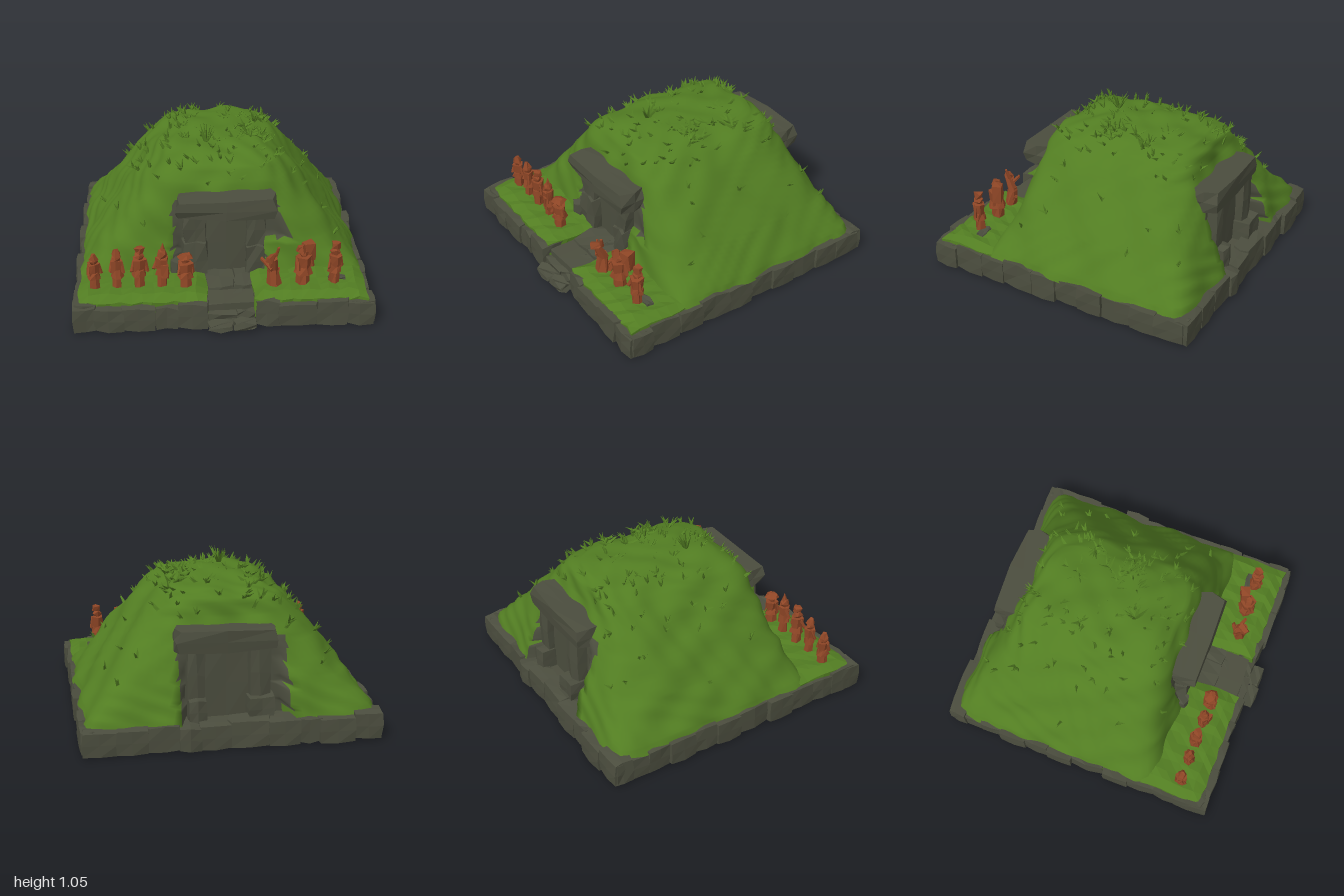
import * as THREE from 'three';
import { mergeGeometries } from 'three/addons/utils/BufferGeometryUtils.js';

const mat = (name, color) => Object.assign(new THREE.MeshStandardMaterial({ color }), { name });

// seeded random numbers
let seed = 7;
const rnd = () => { seed = (seed * 16807) % 2147483647; return seed / 2147483647; };
const span = (a, b) => a + (b - a) * rnd();

// mound cross-sections: height, half width, front z, back z, corner squareness
const RINGS = [
  [0.14, 0.925, 0.56, -0.92, 16], [0.2, 0.895, 0.535, -0.9, 13], [0.3, 0.82, 0.51, -0.865, 8],
  [0.4, 0.75, 0.49, -0.825, 6], [0.6, 0.6, 0.46, -0.74, 5], [0.75, 0.475, 0.425, -0.655, 5],
  [0.85, 0.37, 0.37, -0.63, 5], [0.9, 0.27, 0.27, -0.56, 4], [0.92, 0.12, 0.14, -0.32, 3],
  [0.925, 0, -0.095, -0.095, 2],
];

function moundPoint(angle, v) {
  const f = Math.min(v, 0.99999) * (RINGS.length - 1), k = Math.floor(f);
  const [y, hw, zf, zb, n] = RINGS[k].map((a, i) => THREE.MathUtils.lerp(a, RINGS[k + 1][i], f - k));
  const c = Math.cos(angle), s = Math.sin(angle);
  const r = Math.pow(Math.abs(c) ** n + Math.abs(s) ** n, -1 / n);
  const p = new THREE.Vector3(hw * c * r, y, (zf + zb) / 2 + ((zf - zb) / 2) * s * r);
  // irregular lumps, fading sideways towards the summit
  const lump = 0.009 * Math.sin(p.x * 11 + p.y * 7) * Math.sin(p.z * 13 - p.y * 12)
    + 0.008 * Math.sin(p.x * 23 - p.z * 9 + 3 * Math.sin(p.z * 6 + p.y * 8)) * Math.cos(p.y * 21 + p.z * 17);
  const side = lump * Math.min(1, hw * 4);
  return p.add(new THREE.Vector3(c * side, lump, s * side));
}

// bare rock around the doorways lies between these x limits
const rockEdges = (y, z) => (z > 0.2 ? [-0.31, y > 0.39 ? 0.35 + (0.63 - y) * 0.5 : 0.28] : [-0.35, 0.33]);
const nearDoor = (y, z) => y < 0.65 && (z > 0.35 || z < -0.6);
function isBare(x, y, z) {
  const [lo, hi] = rockEdges(y, z);
  return nearDoor(y, z) && x > lo && x < hi;
}

function buildMound(grass, stone) {
  const N = 128, R = 45, pos = [], turf = [], bare = [];
  for (let j = 0; j <= R; j++)
    for (let i = 0; i < N; i++) {
      const p = moundPoint((i / N) * Math.PI * 2, j / R);
      // pull nearby corners onto the rock edge, and sink the rock into an alcove
      if (nearDoor(p.y, p.z)) {
        const [lo, hi] = rockEdges(p.y, p.z);
        for (const e of [lo, hi]) if (Math.abs(p.x - e) < 0.018) p.x = e;
        if (p.x > lo && p.x < hi) p.z = THREE.MathUtils.clamp(p.z, -0.75, 0.455);
      }
      pos.push(p.x, p.y, p.z);
    }
  for (let j = 0; j < R; j++)
    for (let i = 0; i < N; i++) {
      const a = j * N + i, b = j * N + ((i + 1) % N), c = a + N, d = b + N;
      const mid = (q) => (pos[a * 3 + q] + pos[b * 3 + q] + pos[c * 3 + q] + pos[d * 3 + q]) / 4;
      (isBare(mid(0), mid(1), mid(2)) ? bare : turf).push(a, c, d, a, d, b);
    }
  const g = new THREE.BufferGeometry();
  g.setAttribute('position', new THREE.Float32BufferAttribute(pos, 3));
  g.setIndex([...turf, ...bare]);
  g.addGroup(0, turf.length, 0);
  g.addGroup(turf.length, bare.length, 1);
  g.computeVertexNormals();
  const m = new THREE.Mesh(g, [grass, stone]);
  m.name = 'mound';
  return m;
}

// moves every vertex by a rule of its position, so shared corners stay closed
function roughen(g, amount) {
  const p = g.attributes.position, k = rnd() * 50;
  for (let i = 0; i < p.count; i++) {
    const [x, y, z] = [p.getX(i), p.getY(i), p.getZ(i)];
    const w = (q) => amount * Math.sin(x * 57 + y * 83 + z * 71 + k + q);
    p.setXYZ(i, x + w(0), y + w(2.1), z + w(4.3));
  }
  return g;
}

function faceted(g) {
  const f = g.index ? g.toNonIndexed() : g;
  f.deleteAttribute('uv');
  f.computeVertexNormals();
  return f;
}

// rough stone block with worn corners, given by its bounds
function block(x0, x1, y0, y1, z0, z1, rough = 0.008) {
  const size = [x1 - x0, y1 - y0, z1 - z0];
  const g = new THREE.BoxGeometry(...size, 2, 2, 2), p = g.attributes.position;
  for (let i = 0; i < p.count; i++) {
    const v = [p.getX(i), p.getY(i), p.getZ(i)];
    const edges = v.filter((a, q) => Math.abs(a) > size[q] * 0.49).length;
    const s = edges === 3 ? 0.94 : 1;
    p.setXYZ(i, v[0] * s, v[1] * s, v[2] * s);
  }
  roughen(g, rough);
  return faceted(g.translate((x0 + x1) / 2, (y0 + y1) / 2, (z0 + z1) / 2));
}

export function createModel() {
  seed = 7;
  const root = new THREE.Group();
  root.name = 'burialMound';
  const grass = mat('grass', 0x527d22), stone = mat('stone', 0x4b4d3e), clay = mat('clay', 0x8f4626);
  const add = (name, parts, material) => {
    const m = new THREE.Mesh(mergeGeometries([].concat(parts)), material);
    m.name = name;
    root.add(m);
    return m;
  };

  root.add(buildMound(grass, stone));
  add('baseSlab', block(-0.9, 0.9, 0.005, 0.145, -0.92, 0.88, 0.003), stone);

  // kerb stones along the four sides
  const kerb = [];
  const row = (from, to, count, place) => {
    for (let i = 0, a = from; i < count; i++) {
      const b = i === count - 1 ? to : from + ((to - from) * (i + 1 + span(-0.2, 0.2))) / count;
      place(a - 0.006, b + 0.006, span(-0.015, 0.015), span(0.15, 0.175));
      a = b;
    }
  };
  for (const s of [-1, 1])
    row(-0.93, 0.91, 10, (a, b, o, h) => {
      const e = s * (0.943 + o);
      kerb.push(block(Math.min(e, s * 0.8), Math.max(e, s * 0.8), 0, h, a, b));
    });
  row(-0.93, 0.93, 10, (a, b, o, h) => kerb.push(block(a, b, 0, h, -0.965 + o, -0.83)));
  row(-0.93, -0.1, 5, (a, b, o, h) => kerb.push(block(a, b, 0, h, 0.78, 0.93 + o)));
  row(0.2, 0.93, 4, (a, b, o, h) => kerb.push(block(a, b, 0, h, 0.78, 0.93 + o)));
  add('kerbStones', kerb, stone);

  // grassy terraces on either side of the path
  for (const [name, x0, x1] of [['rightTerrace', -0.91, -0.1], ['leftTerrace', 0.19, 0.91]]) {
    const g = new THREE.BoxGeometry(x1 - x0, 0.13, 0.43, 12, 1, 6);
    const p = g.attributes.position;
    for (let i = 0; i < p.count; i++)
      if (p.getY(i) > 0) {
        const rim = Math.abs(p.getX(i)) > (x1 - x0) * 0.49 || p.getZ(i) > 0.21;
        p.setY(i, p.getY(i) + (rim ? -0.016 : 0.01));
      }
    add(name, faceted(roughen(g, 0.007).translate((x0 + x1) / 2, 0.125, 0.675)), grass);
  }
  add('terraceStone', block(0.68, 0.79, 0.15, 0.208, 0.645, 0.7, 0.005), stone);

  // stepped stone path
  const steps = [[0.9, 0.995, 0.055], [0.8, 0.92, 0.095], [0.69, 0.83, 0.135], [0.43, 0.71, 0.17]];
  add('path', steps.flatMap(([z0, z1, h], i) => [
    block(-0.1, 0.05 + (i % 2) * 0.03, 0.015, h, z0, z1),
    block(0.06 + (i % 2) * 0.02, 0.195, 0.015, h + 0.008, z0, z1 - 0.01),
  ]), stone);

  // front doorway
  add('frontLintel', block(-0.285, 0.345, 0.585, 0.715, 0.4, 0.595, 0.009), stone);
  add('frontJambs', [
    block(-0.25, -0.09, 0.14, 0.4, 0.4, 0.545), block(-0.24, -0.1, 0.38, 0.6, 0.38, 0.525),
    block(0.16, 0.28, 0.14, 0.37, 0.4, 0.545), block(0.16, 0.28, 0.35, 0.6, 0.38, 0.525),
  ], stone);
  add('frontDoor', block(-0.1, 0.17, 0.15, 0.59, 0.38, 0.48, 0.004), stone);
  add('frontBoulder', block(-0.33, -0.24, 0.15, 0.28, 0.45, 0.57), stone);

  // back doorway
  add('backLintel', block(-0.285, 0.345, 0.58, 0.715, -0.84, -0.65, 0.009), stone);
  add('backJambs', [
    block(-0.25, -0.1, 0.14, 0.29, -0.885, -0.7), block(-0.24, -0.1, 0.27, 0.6, -0.83, -0.65),
    block(0.17, 0.28, 0.14, 0.29, -0.885, -0.7), block(0.17, 0.28, 0.27, 0.6, -0.83, -0.65),
  ], stone);
  add('backDoor', block(-0.11, 0.18, 0.13, 0.59, -0.775, -0.64, 0.004), stone);

  // grass blades
  const up = new THREE.Vector3(0, 1, 0), blades = [];
  const blade = (base, dir, len, r) => {
    const g = new THREE.ConeGeometry(r, len, 3).translate(0, len * 0.42, 0);
    g.applyQuaternion(new THREE.Quaternion().setFromUnitVectors(up, dir.normalize()));
    blades.push(faceted(g.translate(base.x, base.y, base.z)));
  };
  const tuft = (base, count, len, spread, lean, r = 0.015) => {
    for (let i = 0; i < count; i++)
      blade(base, new THREE.Vector3(span(-spread, spread), 0.6, span(-spread, spread)).add(lean), len * span(0.6, 1), r);
  };
  const flat = new THREE.Vector3();
  tuft(new THREE.Vector3(-0.08, 0.91, 0.1), 12, 0.17, 0.45, flat);
  for (let i = 0; i < 20; i++)
    tuft(new THREE.Vector3(span(0.04, 0.32), 0.9, span(-0.4, 0.08)), 4, 0.11, 1.3, flat);
  for (let i = 0; i < 10; i++)
    tuft(new THREE.Vector3(span(-0.26, 0.1), 0.905, span(-0.4, 0.2)), 4, 0.07, 1.4, flat);
  for (let i = 0; i < 110; i++) {
    const t = rnd() * Math.PI * 2, v = 0.15 + 0.7 * Math.sqrt(rnd()), p = moundPoint(t, v);
    if (isBare(p.x, p.y - 0.08, p.z)) continue;
    const c = Math.cos(t), s = Math.sin(t);
    tuft(p, 3, 0.075, 0.5, new THREE.Vector3(c * 0.4, -0.1, s * 0.4), 0.013);
  }
  add('grassBlades', blades, grass);

  // clay figurines: x, height, head shape, girth, turn
  const figures = [
    [-0.81, 0.24, 'cap', 1, 0.3], [-0.665, 0.27, 'cap', 0.95, -0.2], [-0.525, 0.28, 'bun', 1.1, 0.1],
    [-0.38, 0.29, 'point', 1, -0.4], [-0.235, 0.23, 'brim', 1.2, 0.2], [0.51, 0.27, 'pack', 1.4, 0.4],
    [0.71, 0.28, 'bun', 1.1, 0.2],
  ];
  const piece = (g, x, y, z, rz = 0, rx = 0) => faceted(roughen(g.rotateZ(rz).rotateX(rx), 0.005).translate(x, y, z));
  const cyl = (a, b, h, n = 6) => new THREE.CylinderGeometry(a, b, h, n);
  for (const [x, h, head, girth, turn] of figures) {
    const r = 0.033 * girth;
    const parts = [
      piece(cyl(r * 0.85, r * 1.0, h * 0.34), 0, h * 0.17, 0),
      piece(cyl(r * 1.0, r * 1.3, h * 0.18, 7), 0, h * 0.38, 0),
      piece(cyl(r * 1.2, r * 1.0, h * 0.28), 0, h * 0.57, 0),
      piece(new THREE.IcosahedronGeometry(h * 0.12, 0), 0, h * 0.79, 0),
      piece(cyl(r * 0.3, r * 0.35, h * 0.3, 5), r * 1.1, h * 0.55, 0.008, 0.15),
      piece(cyl(r * 0.3, r * 0.35, h * 0.28, 5), -r * 1.05, h * 0.56, 0.012, -0.2, -0.4),
    ];
    if (head === 'cap') parts.push(piece(cyl(0.016, 0.03, h * 0.16, 5), 0, h * 0.92, 0));
    if (head === 'bun') parts.push(piece(cyl(0.032, 0.026, h * 0.13, 5), 0.004, h * 0.93, 0));
    if (head === 'point') parts.push(piece(new THREE.ConeGeometry(0.024, h * 0.28, 5), 0, h * 0.93, 0),
      piece(new THREE.BoxGeometry(0.05, 0.09, 0.02), 0.03, h * 0.42, 0.025));
    if (head === 'brim') parts.push(piece(cyl(0.03, 0.05, h * 0.1, 7), 0, h * 0.92, 0));
    if (head === 'pack') parts.push(piece(new THREE.BoxGeometry(0.075, 0.12, 0.06), 0.045, h * 0.76, -0.02),
      piece(cyl(0.025, 0.035, h * 0.14, 5), -0.02, h * 0.92, 0));
    const f = add('figurine', parts, clay);
    f.position.set(x, 0.195, 0.72);
    f.rotation.y = turn;
  }

  // rearing animal figurine
  const animal = add('animalFigurine', [
    piece(cyl(0.032, 0.045, 0.13), 0, 0.065, 0, 0.1),
    piece(cyl(0.024, 0.038, 0.11), 0.005, 0.15, 0.01, -0.2, 0.3),
    piece(new THREE.BoxGeometry(0.04, 0.035, 0.07), 0, 0.2, 0.035, 0.2),
    piece(cyl(0.008, 0.012, 0.08, 5), 0.02, 0.235, 0, -0.3),
    piece(cyl(0.01, 0.014, 0.1, 5), -0.03, 0.15, 0.03, 0.9),
    piece(cyl(0.014, 0.02, 0.1, 5), 0, 0.04, -0.04, 0, -0.6),
  ], clay);
  animal.position.set(0.32, 0.195, 0.73);
  animal.rotation.y = -0.6;
  return root;
}
